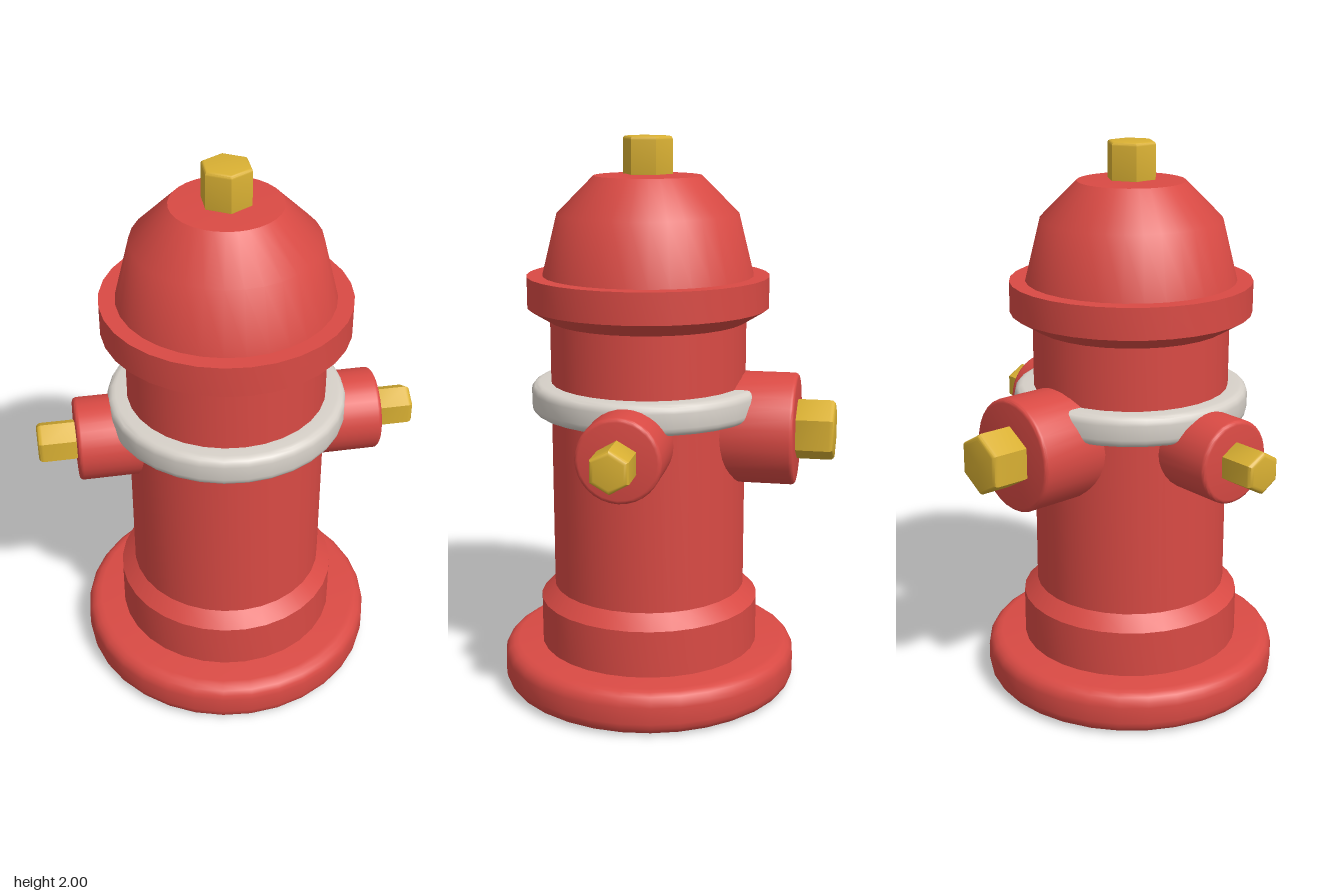
import * as THREE from 'three';
import { toCreasedNormals } from 'three/addons/utils/BufferGeometryUtils.js';

const CREASE = 0.65;

// Revolve a profile of [radius, height] pairs, keeping strong edges sharp
function turned(profile, segments = 32, phiStart = 0) {
  const points = profile.map(([r, y]) => new THREE.Vector2(r, y));
  return toCreasedNormals(new THREE.LatheGeometry(points, segments, phiStart), CREASE);
}

// Quarter-round corner points around (r, y), from angle a to a + 90 degrees
function corner(r, y, b, a, steps = 4) {
  return Array.from({ length: steps + 1 }, (_, i) => {
    const t = a + (i / steps) * Math.PI / 2;
    return [r + b * Math.cos(t), y + b * Math.sin(t)];
  });
}

// Closed disc profile with rounded rims
function discProfile(r, y0, y1, b) {
  return [[0, y0], ...corner(r - b, y0 + b, b, -Math.PI / 2), ...corner(r - b, y1 - b, b, 0), [0, y1]];
}

export function createModel() {
  const red = new THREE.MeshStandardMaterial({ name: 'red paint', color: 0xd94a44 });
  const gold = new THREE.MeshStandardMaterial({ name: 'gold brass', color: 0xd9b033 });
  const grey = new THREE.MeshStandardMaterial({ name: 'pale grey', color: 0xd6d0c8 });

  const model = new THREE.Group();
  model.name = 'fireHydrant';
  const hydrant = new THREE.Group();
  hydrant.name = 'hydrantBody';
  hydrant.position.z = 0.065;
  model.add(hydrant);

  const add = (name, geometry, material, parent = hydrant) => {
    const mesh = new THREE.Mesh(geometry, material);
    mesh.name = name;
    parent.add(mesh);
    return mesh;
  };

  // Foot and barrel
  add('baseFlange', turned(discProfile(0.54, 0, 0.16, 0.05)), red);
  add('barrel', turned([[0.4, 0.15], [0.4, 0.33], [0.35, 0.38], [0.35, 1.37]]), red);

  // Collar under the bonnet, and the domed bonnet
  add('bonnetFlange', turned([[0.34, 1.355], [0.43, 1.41], [0.43, 1.52], [0.36, 1.52]]), red);
  add('bonnet', turned([[0.375, 1.515], [0.32, 1.735], [0.19, 1.865], [0, 1.875]]), red);
  add('topNut', turned(discProfile(0.088, 1.86, 2, 0.012), 6), gold);

  // Rounded band around the barrel
  add('band', turned([
    [0.34, 1.03], ...corner(0.39, 1.06, 0.03, -Math.PI / 2), ...corner(0.39, 1.11, 0.03, 0), [0.34, 1.14],
  ]), grey);

  // Outlets, built along +y and then turned outward
  function outlet(name, radius, nutRadius, nutTurn) {
    const group = new THREE.Group();
    group.name = name;
    group.position.y = 0.98;
    add('outletPipe', turned(discProfile(radius, 0.2, 0.54, 0.015)), red, group);
    add('outletNut', turned(discProfile(nutRadius, 0.53, 0.675, 0.018), 6, nutTurn), gold, group);
    hydrant.add(group);
    return group;
  }
  for (const [name, side] of [['leftOutlet', 1], ['rightOutlet', -1]]) {
    outlet(name, 0.147, 0.075, Math.PI / 2).rotation.z = -side * Math.PI / 2;
  }
  outlet('backOutlet', 0.2, 0.109, 0).rotation.x = -Math.PI / 2;

  return model;
}
